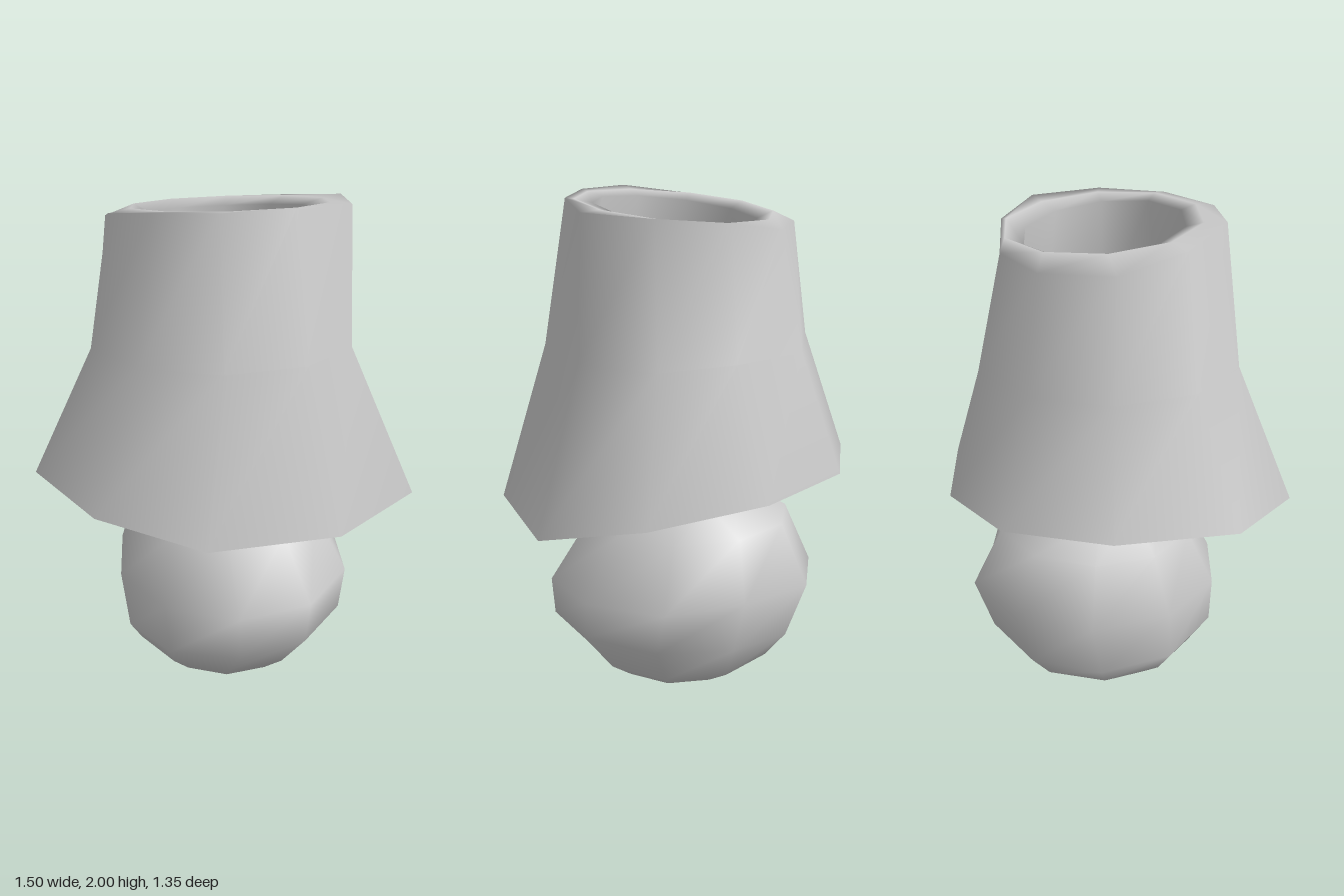
import * as THREE from 'three';

const SIDES = 10;
const material = new THREE.MeshStandardMaterial({ color: 0xcccccc });

// Slightly tilted ellipse of ten points: centre, radii, slope of y along x and z,
// and a dent that pulls the back left point inwards
function ring(cx, cz, y, rx, rz = rx, slopeX = 0, slopeZ = 0, dent = 0) {
  return Array.from({ length: SIDES }, (_, i) => {
    const a = (i / SIDES) * Math.PI * 2;
    const s = i === SIDES - 1 ? 1 - dent : 1;
    const dx = s * rx * Math.cos(a), dz = s * rz * Math.sin(a);
    return [cx + dx, y + dx * slopeX + dz * slopeZ, cz + dz];
  });
}

// Smooth skin over a list of rings; either a closed loop of rings or capped at both ends
function loft(name, rings, closed) {
  const index = [];
  const n = rings.length;
  for (let j = 0; j < (closed ? n : n - 1); j++) {
    for (let i = 0; i < SIDES; i++) {
      const k = (i + 1) % SIDES, up = ((j + 1) % n) * SIDES;
      const a = j * SIDES + i, b = j * SIDES + k, c = up + i, d = up + k;
      index.push(a, c, b, b, c, d);
    }
  }
  if (!closed) {
    for (let i = 1; i < SIDES - 1; i++) {
      index.push(0, i, i + 1);
      const t = (n - 1) * SIDES;
      index.push(t, t + i + 1, t + i);
    }
  }
  const geometry = new THREE.BufferGeometry();
  geometry.setAttribute('position', new THREE.Float32BufferAttribute(rings.flat(2), 3));
  geometry.setIndex(index);
  geometry.computeVertexNormals();
  const mesh = new THREE.Mesh(geometry, material);
  mesh.name = name;
  return mesh;
}

export function createModel() {
  const group = new THREE.Group();
  group.name = 'tableLamp';

  // Lopsided round base running up into the stem
  group.add(loft('baseAndStem', [
    ring(0.04, -0.02, 0.003, 0.14, 0.155),
    ring(0.04, -0.01, 0.037, 0.275, 0.285),
    ring(0.045, -0.02, 0.12, 0.38, 0.4),
    ring(0.07, 0, 0.25, 0.46, 0.51, 0.1, 0.03, 0.03),
    ring(0.075, -0.035, 0.455, 0.49, 0.555, 0.05, -0.04, 0.09),
    ring(0.05, -0.055, 0.7, 0.39, 0.42, 0.045, -0.045),
    ring(0.05, -0.025, 0.805, 0.225, 0.235, 0, -0.04),
    ring(0.045, -0.01, 0.92, 0.135, 0.14, 0, -0.1),
    ring(0.045, -0.015, 1.0, 0.108),
    ring(0.045, -0.015, 1.35, 0.108),
  ], false));

  // Uneven outer edges of the shade
  const bottomEdge = [
    [0.75, 0.91, 0], [0.7, 0.83, 0.41], [0.26, 0.82, 0.67], [-0.27, 0.84, 0.67], [-0.62, 0.915, 0.41],
    [-0.755, 0.96, 0], [-0.53, 0.96, -0.42], [-0.18, 0.955, -0.675], [0.18, 0.955, -0.675], [0.535, 0.95, -0.42],
  ];
  const topEdge = [
    [0.525, 1.98, 0], [0.44, 1.985, 0.28], [0.16, 2, 0.4], [-0.13, 2, 0.4], [-0.34, 1.995, 0.27],
    [-0.43, 1.955, 0], [-0.37, 1.9, -0.28], [-0.14, 1.89, -0.45], [0.14, 1.895, -0.42], [0.38, 1.95, -0.25],
  ];

  // Thick hollow shade: outer wall, rounded top lip, inner wall, grooved bottom rim
  group.add(loft('shade', [
    bottomEdge,
    ring(0.022, -0.01, 1.44, 0.533, 0.526, 0, 0, 0.12),
    topEdge,
    ring(0.055, -0.005, 1.968, 0.395, 0.385, 0, 0.085),
    ring(0.045, -0.005, 1.945, 0.315, 0.32, 0, 0.12),
    ring(0.03, -0.005, 1.44, 0.42, 0.42),
    ring(0, 0, 0.93, 0.59, 0.58, -0.04, -0.09),
    ring(0, 0, 0.95, 0.66, 0.63, -0.04, -0.1),
  ], true));

  return group;
}
